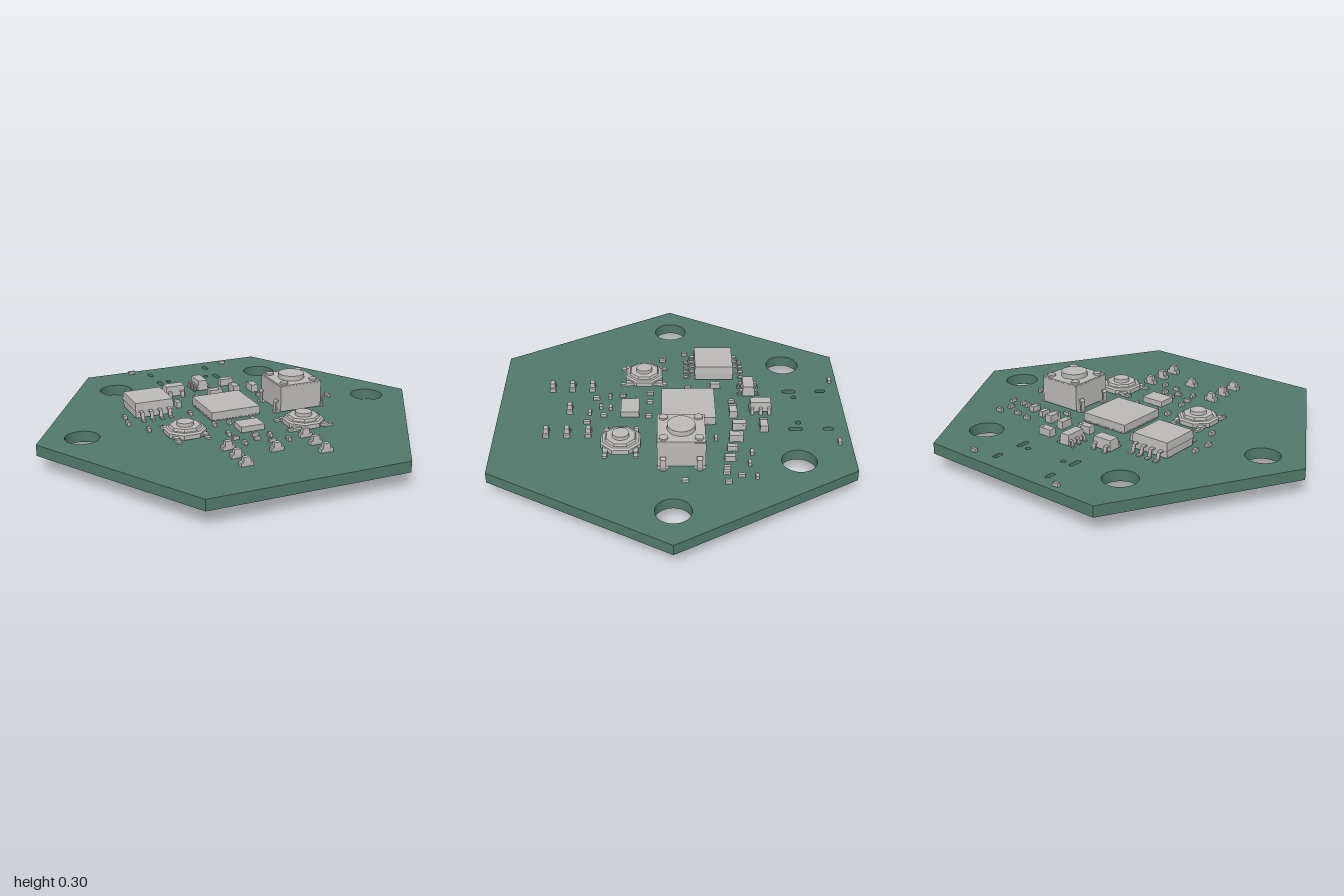
import * as THREE from 'three';

const green = new THREE.MeshStandardMaterial({ color: 0x50796a });
green.name = 'boardGreen';
const grey = new THREE.MeshStandardMaterial({ color: 0xbab9b7 });
grey.name = 'componentGrey';
const TOP = 0.135, BOTTOM = 0.08;

function add(parent, name, geometry, x = 0, y = 0, z = 0, material = grey) {
  const m = new THREE.Mesh(geometry, material);
  m.name = name;
  m.position.set(x, y, z);
  parent.add(m);
  return m;
}

// box given by its centre in x and z and its bottom and top heights
function block(parent, name, x, z, w, d, y0, y1) {
  return add(parent, name, new THREE.BoxGeometry(w, y1 - y0, d), x, (y0 + y1) / 2, z);
}

function group(parent, name, x, z, turn = 0) {
  const g = new THREE.Group();
  g.name = name;
  g.position.set(x, TOP, z);
  g.rotation.y = turn;
  parent.add(g);
  return g;
}

// box whose upper face is drawn in
function taperedBlock(parent, name, w, d, y0, y1, inset) {
  const m = block(parent, name, 0, 0, w, d, y0, y1);
  const p = m.geometry.attributes.position;
  for (let i = 0; i < p.count; i++) {
    if (p.getY(i) > 0) {
      p.setX(i, p.getX(i) - Math.sign(p.getX(i)) * inset);
      p.setZ(i, p.getZ(i) - Math.sign(p.getZ(i)) * inset);
    }
  }
  m.geometry.computeVertexNormals();
}

// flat strip bent along a 2D path (out, up), with its width along x
function strip(parent, name, path, width, thick, x, z, turn) {
  const lower = path.map(([a, b]) => new THREE.Vector2(a, b));
  const upper = path.map(([a, b], i) => {
    const p = path[Math.max(i - 1, 0)], q = path[Math.min(i + 1, path.length - 1)];
    const l = Math.hypot(q[0] - p[0], q[1] - p[1]);
    return new THREE.Vector2(a - (q[1] - p[1]) / l * thick, b + (q[0] - p[0]) / l * thick);
  });
  const shape = new THREE.Shape([...lower, ...upper.reverse()]);
  const geo = new THREE.ExtrudeGeometry(shape, { depth: width, bevelEnabled: false });
  geo.translate(0, 0, -width / 2);
  geo.rotateY(-Math.PI / 2);
  add(parent, name, geo, x, 0, z).rotation.y = turn;
}

// gull-wing pins in two facing rows; xs lists the pin places
function pinRows(parent, xs, edge, reach, height, width) {
  const path = [[-0.005, height], [reach * 0.35, height], [reach * 0.5, 0.003], [reach, 0.003]];
  for (const x of xs) {
    strip(parent, 'pin', path, width, 0.008, x, edge, 0);
    strip(parent, 'pin', path, width, 0.008, x, -edge, Math.PI);
  }
}

function makeBoard(root) {
  const shape = new THREE.Shape();
  for (let i = 0; i < 6; i++) {
    const a = i * Math.PI / 3;
    if (i) shape.lineTo(Math.cos(a), Math.sin(a));
    else shape.moveTo(1, 0);
  }
  shape.closePath();
  const round = (x, z, r) => shape.holes.push(new THREE.Path().absarc(x, -z, r, 0, Math.PI * 2, true));
  for (const s of [-1, 1]) {
    round(s * 0.422, -0.598, 0.084);
    round(s * 0.777, -0.002, 0.084);
    round(s * 0.111, -0.627, 0.013);
    // connector slots with rounded ends
    for (const [z, half] of [[-0.77, 0.026], [-0.608, 0.035]]) {
      const r = 0.012, x = s * 0.165, c = half - r, p = new THREE.Path();
      p.absarc(x, -z + c, r, 0, Math.PI, false);
      p.absarc(x, -z - c, r, Math.PI, Math.PI * 2, false);
      shape.holes.push(p);
    }
  }
  const geo = new THREE.ExtrudeGeometry(shape, { depth: TOP - BOTTOM, bevelEnabled: false, curveSegments: 20 });
  geo.rotateX(-Math.PI / 2);
  add(root, 'board', geo, 0, BOTTOM, 0, green);
}

function makePushButton(root) {
  const g = group(root, 'tallPushButton', 0.348, -0.043);
  block(g, 'buttonBody', 0, 0, 0.226, 0.228, 0.005, 0.135);
  block(g, 'buttonCover', 0, 0, 0.224, 0.226, 0.135, 0.142);
  add(g, 'buttonCap', new THREE.CylinderGeometry(0.066, 0.068, 0.026, 32), 0, 0.153, 0);
  for (const sx of [-1, 1]) for (const sz of [-1, 1]) {
    add(g, 'cornerRivet', new THREE.CylinderGeometry(0.021, 0.021, 0.01, 16), sx * 0.082, 0.146, sz * 0.083);
    // bent leg running down through the board
    const path = [[0, 0.06], [0.009, 0.052], [0.009, -0.045], [0.002, -0.08], [0.008, -0.135]];
    strip(g, 'buttonLeg', path, 0.027, 0.008, sx * 0.118, sz * 0.086, sx * Math.PI / 2);
    add(g, 'legCollar', new THREE.CylinderGeometry(0.024, 0.024, 0.003, 16), sx * 0.122, 0.0015, sz * 0.086);
  }
}

function makeLowButton(root, x, z, turn) {
  const g = group(root, 'lowPushButton', x, z, turn);
  const octagon = (name, r0, r1, y0, y1) => {
    const geo = new THREE.CylinderGeometry(r1, r0, y1 - y0, 8).toNonIndexed();
    geo.rotateY(Math.PI / 8);
    geo.computeVertexNormals();
    add(g, name, geo, 0, (y0 + y1) / 2, 0);
  };
  octagon('buttonBase', 0.104, 0.104, 0.004, 0.026);
  octagon('buttonStep', 0.104, 0.094, 0.026, 0.034);
  octagon('buttonRim', 0.08, 0.074, 0.034, 0.046);
  add(g, 'buttonCap', new THREE.CylinderGeometry(0.04, 0.042, 0.02, 24), 0, 0.053, 0);
  for (const sx of [-1, 1]) {
    block(g, 'sideTab', sx * 0.072, 0, 0.024, 0.19, 0.004, 0.018);
    for (const sz of [-1, 1]) block(g, 'solderLeg', sx * 0.074, sz * 0.096, 0.022, 0.048, 0, 0.01);
  }
}

function makeChips(root) {
  // eight-pin chip
  const memory = group(root, 'eightPinChip', -0.369, -0.225);
  taperedBlock(memory, 'chipBody', 0.204, 0.204, 0.045, 0.085, 0.004);
  block(memory, 'chipUnderside', 0, 0, 0.196, 0.196, 0.008, 0.045);
  pinRows(memory, [-0.072, -0.024, 0.024, 0.072], 0.1, 0.056, 0.038, 0.018);

  // large flat processor with edge pads
  const cpu = group(root, 'processor', -0.001, -0.085);
  block(cpu, 'processorBody', 0, 0, 0.26, 0.266, 0.004, 0.046);
  for (let i = 0; i < 14; i++) {
    const t = -0.11 + i * 0.017;
    block(cpu, 'edgePad', t, 0, 0.008, 0.269, 0, 0.009);
    block(cpu, 'edgePad', 0, t, 0.263, 0.008, 0, 0.009);
  }

  // small flat chip
  const flat = group(root, 'smallFlatChip', -0.002, 0.206);
  block(flat, 'chipBody', 0, 0, 0.122, 0.092, 0.003, 0.032);

  // small pinned chips
  const regulator = group(root, 'regulator', -0.167, -0.396);
  taperedBlock(regulator, 'chipBody', 0.108, 0.066, 0.008, 0.06, 0.005);
  pinRows(regulator, [-0.034, 0.034], 0.031, 0.024, 0.028, 0.02);
  const guard = group(root, 'sixPinChip', -0.001, -0.447, Math.PI / 2);
  taperedBlock(guard, 'chipBody', 0.112, 0.058, 0.008, 0.06, 0.005);
  pinRows(guard, [-0.042, 0, 0.042], 0.026, 0.024, 0.028, 0.016);
}

function makeLamp(root, x, z) {
  const g = group(root, 'lamp', x, z);
  block(g, 'lampBase', 0, 0, 0.06, 0.026, 0, 0.018);
  taperedBlock(g, 'lampLens', 0.038, 0.028, 0.018, 0.043, 0.003);
  for (const s of [-1, 1]) block(g, 'lampContact', s * 0.024, 0, 0.014, 0.03, 0, 0.02);
}

// resistor or capacitor lying along its longer side
function makePassive(root, x, z, w, d, h) {
  const length = Math.max(w, d), width = Math.min(w, d);
  const g = group(root, 'smallComponent', x, z, w >= d ? 0 : Math.PI / 2);
  block(g, 'componentBody', 0, 0, length * 0.6, width * 0.94, 0.001, h - 0.001);
  for (const s of [-1, 1]) block(g, 'endCap', s * length * 0.39, 0, length * 0.22, width, 0, h);
}

function makePassives(root) {
  const place = (w, d, h, spots) => spots.forEach(([x, z]) => makePassive(root, x, z, w, d, h));
  // large capacitors
  place(0.072, 0.04, 0.038, [[0.155, -0.452], [0.032, -0.308]]);
  place(0.038, 0.067, 0.04, [[0.155, -0.331], [0.251, -0.311]]);
  // medium parts, lengthwise in z
  place(0.026, 0.051, 0.03, [[0.332, -0.289], [0.412, -0.273], [-0.208, -0.23]]);
  // small parts, lengthwise in x
  place(0.032, 0.017, 0.018, [
    [-0.257, -0.829], [0.283, -0.808], [0.246, -0.214], [0.364, -0.38], [0.444, -0.364], [0.545, -0.391],
    [-0.118, 0.31], [-0.016, 0.305], [-0.027, 0.353], [0.027, 0.407],
  ]);
  // small parts, lengthwise in z
  place(0.017, 0.032, 0.018, [
    [-0.07, -0.305], [-0.193, -0.086], [-0.513, -0.166], [-0.524, -0.076], [-0.46, 0.043], [0.535, -0.32],
    [0.476, -0.257], [0.515, -0.252], [0.583, -0.258], [0.572, -0.059], [-0.144, 0.107], [-0.064, 0.107],
    [0.059, 0.112], [-0.128, 0.246], [0.048, 0.337], [-0.102, 0.38], [0.107, 0.417],
  ]);
}

export function createModel() {
  const root = new THREE.Group();
  root.name = 'circuitBoard';
  makeBoard(root);
  makePushButton(root);
  makeLowButton(root, -0.308, 0.139, 0);
  makeLowButton(root, 0.273, 0.245, Math.PI / 2);
  makeChips(root);
  for (const x of [-0.2, 0.2]) for (const z of [0.405, 0.508, 0.61]) makeLamp(root, x, z);
  makeLamp(root, 0, 0.508);
  makePassives(root);
  return root;
}
